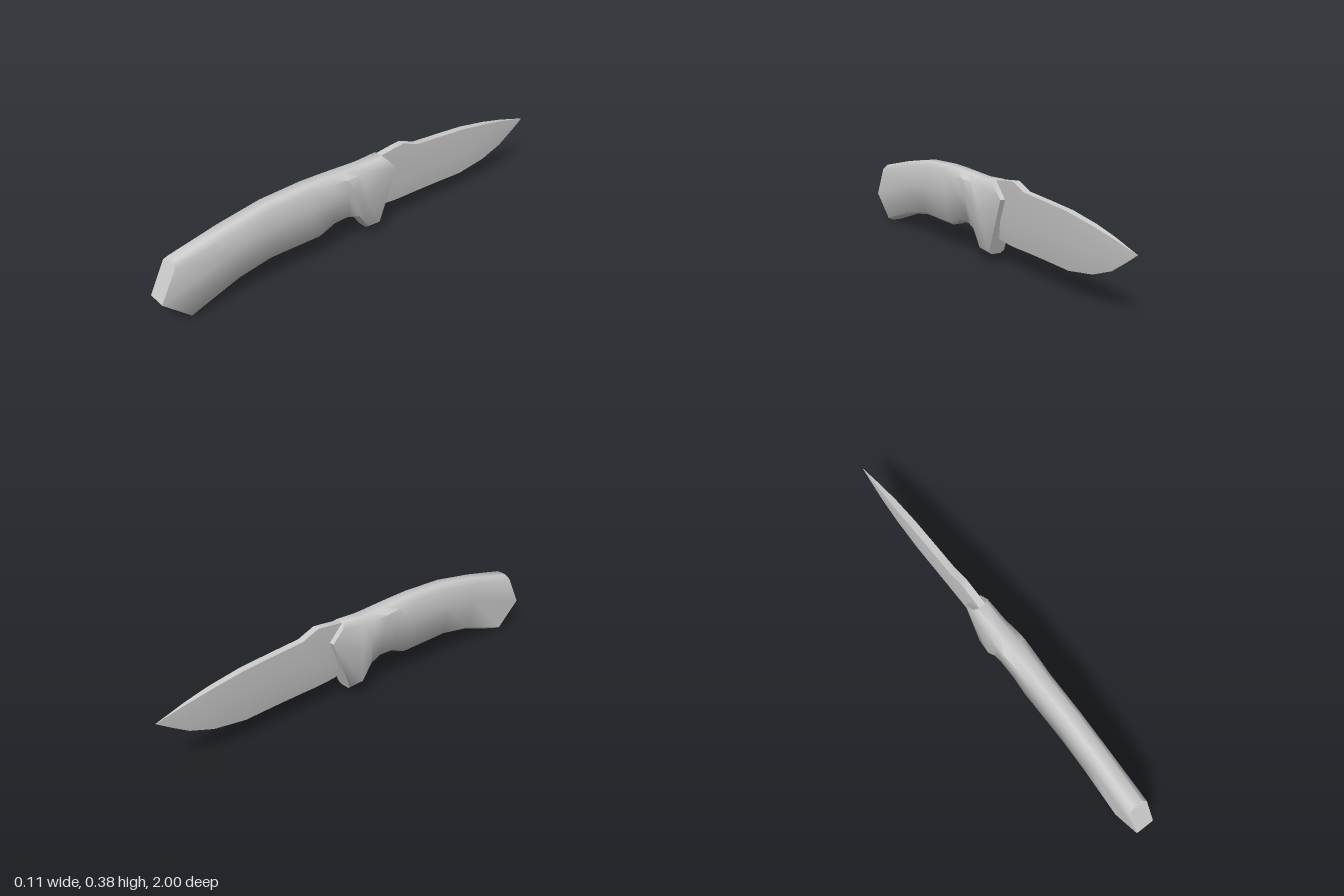
import * as THREE from 'three';
import { toCreasedNormals } from 'three/addons/utils/BufferGeometryUtils.js';

const material = new THREE.MeshStandardMaterial({ color: 0xcccccc });

// Skin a row of left-right symmetric rings, running from +z to -z, with capped ends.
// Each ring is given by its +x half, from top to bottom.
function loft(name, halves, crease) {
  const rings = halves.map(h => [...h, ...[...h].reverse().map(([x, y, z]) => [-x, y, z])]);
  const n = rings[0].length;
  const index = [];
  const quad = (a, b, c, d) => index.push(a, b, c, a, c, d);
  for (let i = 0; i < rings.length - 1; i++) {
    for (let j = 0; j < n; j++) {
      const k = (j + 1) % n;
      quad(i * n + j, i * n + k, (i + 1) * n + k, (i + 1) * n + j);
    }
  }
  const end = (rings.length - 1) * n;
  for (let j = 0; j < n / 2 - 1; j++) {
    quad(j, n - 1 - j, n - 2 - j, j + 1);
    quad(end + j + 1, end + n - 2 - j, end + n - 1 - j, end + j);
  }
  const geometry = new THREE.BufferGeometry();
  geometry.setAttribute('position', new THREE.Float32BufferAttribute(rings.flat(2), 3));
  geometry.setIndex(index);
  const mesh = new THREE.Mesh(toCreasedNormals(geometry, crease), material);
  mesh.name = name;
  return mesh;
}

// Handle section: top, bottom and optional middle point as [z, y], half width of the upper part
function handleSection([top, bottom, width, middle, lowWidth = 0.043]) {
  const T = new THREE.Vector2(...top);
  const B = new THREE.Vector2(...bottom);
  const M = middle ? new THREE.Vector2(...middle) : T.clone().lerp(B, 0.45);
  const shoulder = T.clone().lerp(M, 0.025 / T.distanceTo(M));
  const hem = B.clone().lerp(M, 0.014 / B.distanceTo(M));
  const point = (x, p) => [x, p.y, p.x];
  return [
    point(0.023, T),
    point(width, shoulder),
    point((width + lowWidth) / 2, M),
    point(lowWidth, hem),
    point(0.023, B),
  ];
}

// Blade section: z, spine height, grind line height, edge height, half thickness
function bladeSection([z, spine, grind, edge, w]) {
  return [[w, spine, z], [w, grind, z], [Math.min(w, 0.001), edge, z]];
}

export function createModel() {
  const group = new THREE.Group();
  group.name = 'knife';

  // Curved handle with finger notch, palm swell and slanted guard
  group.add(loft('handle', [
    [[0.92, 0.28], [0.87, 0.005], 0.043, [1.0, 0.12]],
    [[0.7, 0.33], [0.65, 0.08], 0.043],
    [[0.5, 0.365], [0.5, 0.108], 0.043],
    [[0.3, 0.375], [0.25, 0.108], 0.044],
    [[0.2, 0.373], [0.17, 0.14], 0.052],
    [[0.12, 0.37], [0.09, 0.143], 0.057],
    [[0.05, 0.367], [0.04, 0.122], 0.053],
    [[0.0, 0.366], [-0.01, 0.05], 0.046],
    [[-0.1, 0.372], [-0.075, 0.045], 0.04, [-0.17, 0.3], 0.038],
  ].map(handleSection), 1.0));

  // Blade with thumb ramp on the spine and a wedge grind down to the edge
  group.add(loft('blade', [
    [-0.05, 0.355, 0.2, 0.12, 0.016],
    [-0.1, 0.37, 0.2, 0.115, 0.016],
    [-0.18, 0.381, 0.2, 0.107, 0.016],
    [-0.23, 0.386, 0.2, 0.105, 0.016],
    [-0.31, 0.355, 0.2, 0.105, 0.016],
    [-0.45, 0.346, 0.198, 0.103, 0.016],
    [-0.6, 0.335, 0.2, 0.099, 0.016],
    [-0.75, 0.312, 0.215, 0.122, 0.014],
    [-0.86, 0.29, 0.232, 0.162, 0.009],
    [-0.94, 0.27, 0.245, 0.213, 0.004],
    [-1.0, 0.255, 0.2545, 0.254, 0.0005],
  ].map(bladeSection), 0.6));

  return group;
}
